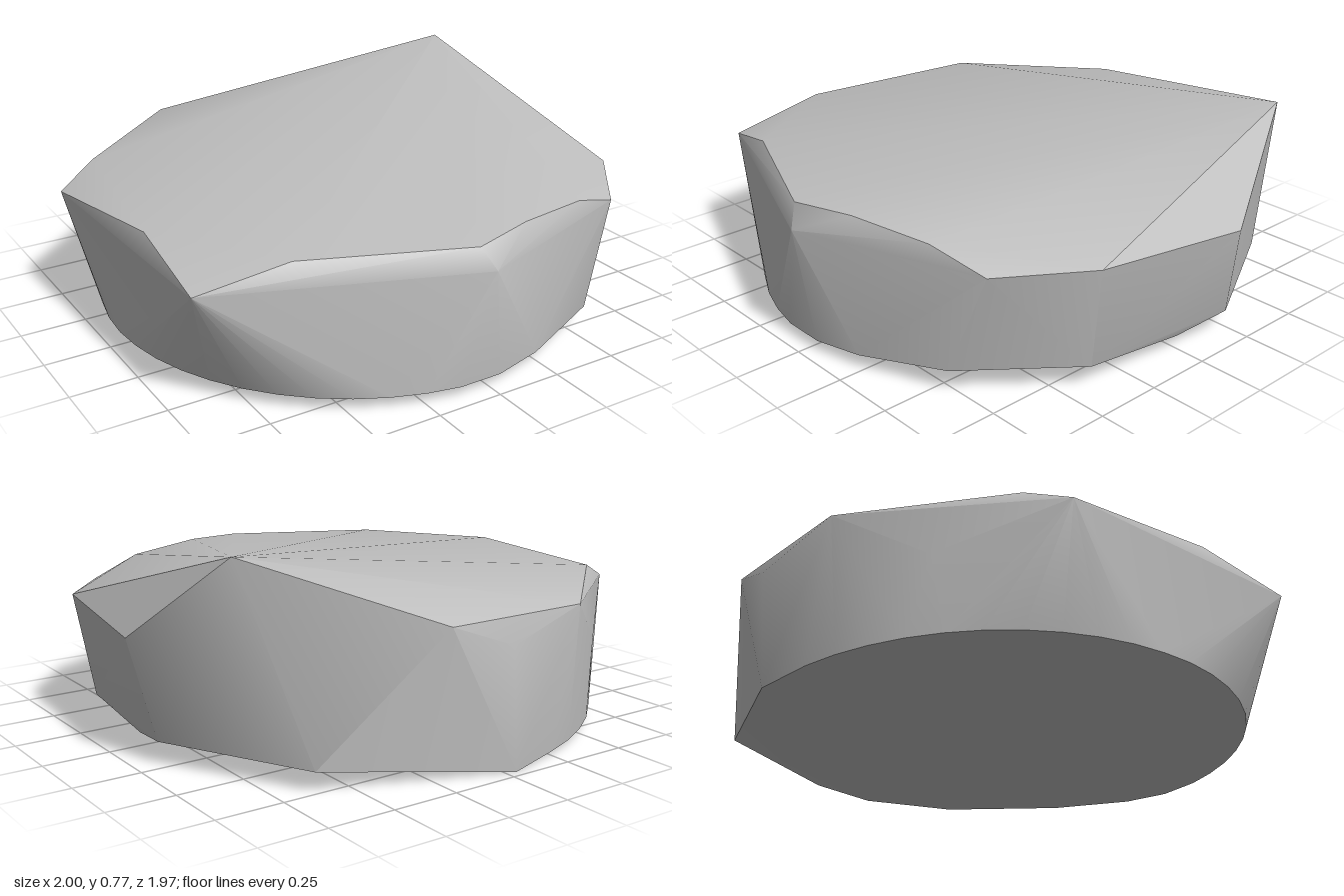
import * as THREE from 'three';
import { ConvexGeometry } from 'three/addons/geometries/ConvexGeometry.js';
import { toCreasedNormals } from 'three/addons/utils/BufferGeometryUtils.js';

export function createModel() {
  const stone = new THREE.MeshStandardMaterial({ color: 0xbebebe });
  stone.name = 'light grey stone';

  // Rim of the sloping top, with its raised corner
  const top = [
    [0.82, 0.77, -0.57], [0.24, 0.54, -0.955], [-0.36, 0.53, -0.92],
    [-0.84, 0.54, -0.48], [-0.94, 0.535, 0.24], [-0.63, 0.535, 0.70],
    [-0.06, 0.54, 0.935], [0.18, 0.55, 0.87], [0.49, 0.53, 0.79],
  ];
  // Chipped corners around the sides
  const sides = [
    [-1, 0.47, -0.4], [0, 0.45, -0.985], [1, 0.45, -0.165], [0.925, 0.48, 0.44],
    [0.7, 0.465, 0.73], [-0.02, 0.46, 0.98], [-0.95, 0.455, 0.62], [-0.65, 0.32, -0.71],
  ];
  // Angular part of the base
  const base = [
    [-0.04, 0, -0.97], [0.63, 0.075, -0.75], [0.92, 0.085, -0.22], [0.88, 0.05, 0],
    [0.86, 0.085, 0.41], [0.56, 0.085, 0.78], [0.23, 0.05, 0.905], [0.04, 0.04, 0.945],
  ];
  // Rounded part of the base
  for (let i = 1; i < 24; i++) {
    const a = (i / 24) * Math.PI;
    const x = -0.96 * Math.sin(a), z = -0.955 * Math.cos(a);
    base.push([x, z < 0 ? 0.005 - 0.047 * x : 0.04 - 0.012 * x, z]);
  }

  const points = [...top, ...sides, ...base].map((p) => new THREE.Vector3(...p));
  const rock = new THREE.Mesh(toCreasedNormals(new ConvexGeometry(points), 0.6), stone);
  rock.name = 'rock';

  const group = new THREE.Group();
  group.name = 'flatRock';
  group.add(rock);
  return group;
}
